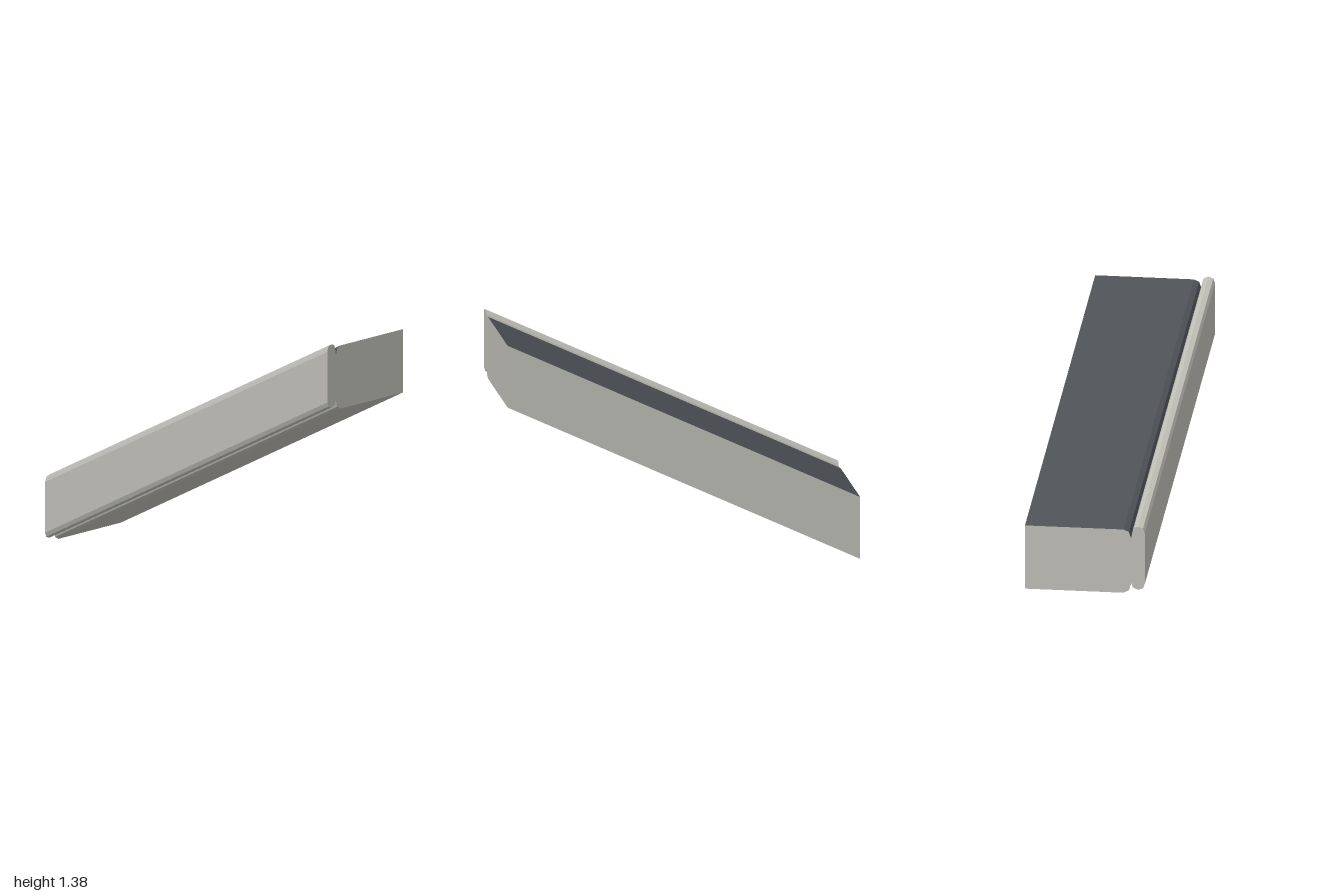
import * as THREE from 'three';

const RISE = 1; // height gained from the left end to the right end

// Cross-section as [z, y], walked from the back over the top, down the front and back underneath
const deck = [[-0.34, 0.36], [0.22, 0.36], [0.25, 0.347], [0.262, 0.312]];
const edge = [
  [0.262, 0.312], [0.272, 0.36], [0.28, 0.372], [0.302, 0.38], [0.33, 0.37], [0.34, 0.343],
  [0.34, 0.055], [0.33, 0.03], [0.302, 0.02], [0.272, 0.032], [0.264, 0.056],
];
const under = [[0.264, 0.056], [0.25, 0.016], [0.22, 0], [-0.34, 0], [-0.34, 0.36]];

// Sloping strip of flat faces running the full length
function strip(points) {
  const pos = [];
  for (let i = 0; i < points.length - 1; i++) {
    const [z0, y0] = points[i];
    const [z1, y1] = points[i + 1];
    const a = [-1, y0, z0], b = [1, y0 + RISE, z0];
    const c = [1, y1 + RISE, z1], d = [-1, y1, z1];
    pos.push(...a, ...d, ...c, ...a, ...c, ...b);
  }
  const geo = new THREE.BufferGeometry();
  geo.setAttribute('position', new THREE.Float32BufferAttribute(pos, 3));
  geo.computeVertexNormals();
  return geo;
}

// Upright end face; side is -1 or +1 along x
function endCap(side) {
  const outline = [...deck, ...edge.slice(1), ...under.slice(1, -1)];
  const shape = new THREE.Shape(outline.map(([z, y]) => new THREE.Vector2(-side * z, y)));
  const geo = new THREE.ShapeGeometry(shape);
  geo.rotateY(side * Math.PI / 2);
  geo.translate(side, side > 0 ? RISE : 0, 0);
  return geo;
}

export function createModel() {
  const stone = new THREE.MeshStandardMaterial({ name: 'paleStone', color: 0xbab9b2 });
  const asphalt = new THREE.MeshStandardMaterial({ name: 'darkAsphalt', color: 0x4a4e54 });

  const group = new THREE.Group();
  group.name = 'slopedRamp';
  const add = (name, geo, mat) => {
    const mesh = new THREE.Mesh(geo, mat);
    mesh.name = name;
    group.add(mesh);
  };

  add('rampSurface', strip(deck), asphalt);
  add('roundedEdge', strip(edge), stone);
  add('undersideAndBack', strip(under), stone);
  add('lowerEnd', endCap(-1), stone);
  add('upperEnd', endCap(1), stone);
  return group;
}
